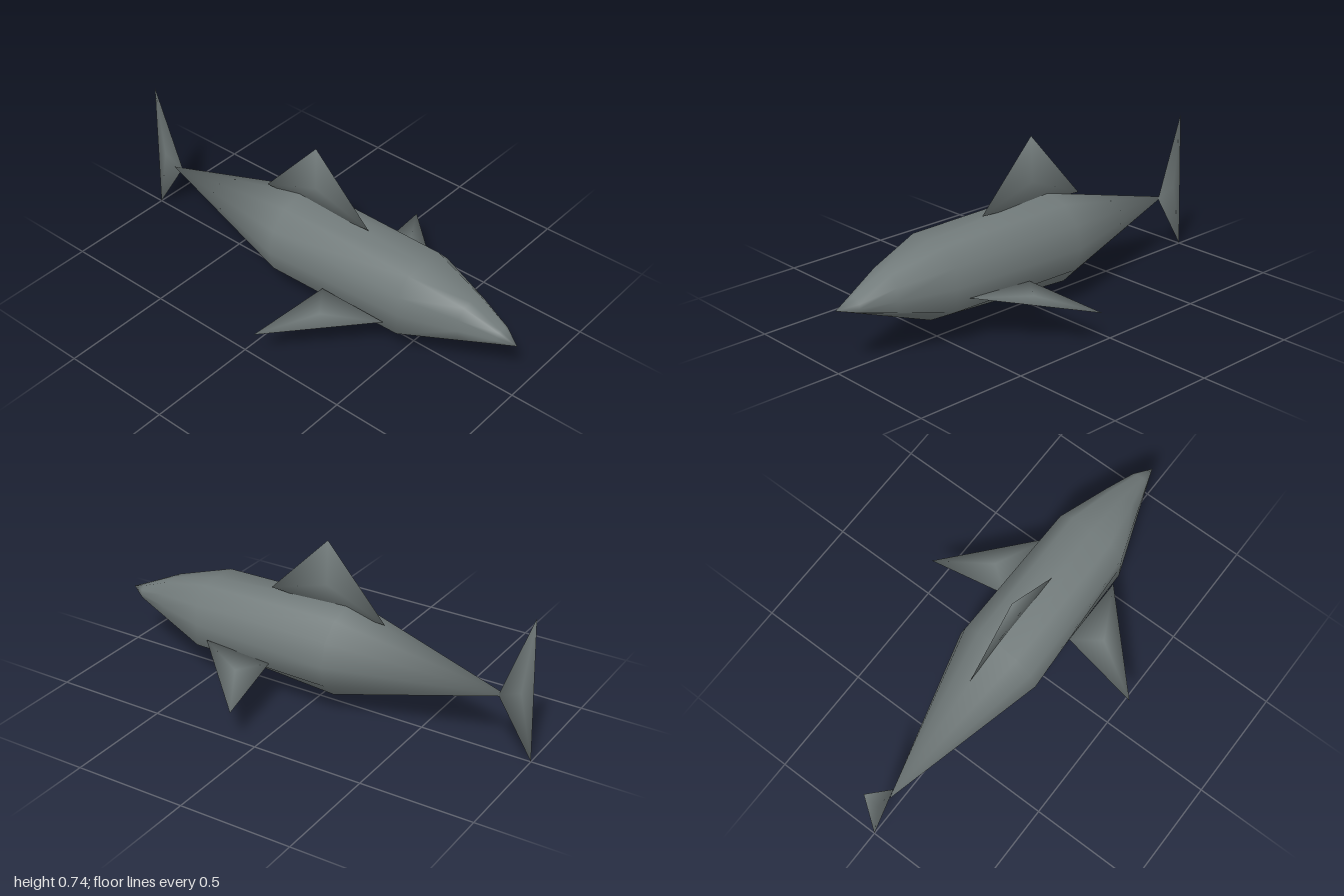
import * as THREE from 'three';

const CENTER_Y = 0.265;

function smoothGeometry(points, faces) {
  const geometry = new THREE.BufferGeometry();
  geometry.setAttribute('position', new THREE.Float32BufferAttribute(points.flat(), 3));
  geometry.setIndex(faces.flat());
  geometry.computeVertexNormals();
  return geometry;
}

// Twelve-sided hull, lofted from nose to tail and closed by a point at each end
function bodyGeometry() {
  const sides = 12;
  // Right half of the head section, from its top to its bottom
  const half = [[0, 0.165], [0.1, 0.165], [0.165, 0.095], [0.165, 0], [0.165, -0.095], [0.083, -0.14], [0, -0.185]];
  const head = (z, right, left, up, down) => Array.from({ length: sides }, (_, i) => {
    const [x, y] = half[i <= 6 ? i : sides - i];
    return [i <= 6 ? x * right : -x * left, CENTER_Y + y * (y > 0 ? up : down), z];
  });
  const belly = Array.from({ length: sides }, (_, i) => {
    const a = (i / sides) * Math.PI * 2;
    return [Math.sin(a) * 0.2, CENTER_Y + Math.cos(a) * 0.2, -0.13];
  });
  const rings = [
    head(0.92, 0.3, 0.17, 0.21, 0.17),
    head(0.77, 0.57, 0.49, 0.606, 0.49),
    head(0.53, 1, 1, 1, 1),
    belly,
  ];
  const points = [...rings.flat(), [0, CENTER_Y, 1], [-0.012, 0.26, -0.88]];
  const nose = rings.length * sides, tail = nose + 1;
  const faces = [];
  for (let i = 0; i < sides; i++) {
    const j = (i + 1) % sides;
    faces.push([nose, j, i]);
    for (let r = 0; r < rings.length - 1; r++) {
      const a = r * sides, b = a + sides;
      faces.push([a + i, a + j, b + i], [a + j, b + j, b + i]);
    }
    const last = nose - sides;
    faces.push([last + i, last + j, tail]);
  }
  return smoothGeometry(points, faces);
}

// Thin triangular blade, slightly swollen in the middle
function finGeometry(corners, thickness) {
  const [a, b, c] = corners.map((p) => new THREE.Vector3(...p));
  const normal = b.clone().sub(a).cross(c.clone().sub(a)).normalize();
  const middle = a.clone().add(b).add(c).divideScalar(3);
  const swell = (d) => middle.clone().addScaledVector(normal, d).toArray();
  const points = [...corners, swell(thickness / 2), swell(-thickness / 2)];
  const faces = [];
  for (let i = 0; i < 3; i++) {
    const j = (i + 1) % 3;
    faces.push([i, j, 3], [j, i, 4]);
  }
  return smoothGeometry(points, faces);
}

export function createModel() {
  const group = new THREE.Group();
  const skin = new THREE.MeshStandardMaterial({ color: 0x727b7b });
  skin.name = 'slateGreySkin';

  const add = (name, geometry) => {
    const mesh = new THREE.Mesh(geometry, skin);
    mesh.name = name;
    group.add(mesh);
  };

  add('body', bodyGeometry());

  // Fins: three corners each
  add('dorsalFin', finGeometry([[0, 0.455, 0.245], [-0.004, 0.74, -0.035], [0, 0.425, -0.315]], 0.012));
  add('tailFin', finGeometry([[0, 0.26, -0.84], [-0.003, 0.64, -0.98], [0, 0, -1]], 0.01));
  add('leftSideFin', finGeometry([[0.175, 0.215, 0.47], [0.54, 0.152, 0.09], [0.175, 0.195, 0.145]], 0.012));
  add('rightSideFin', finGeometry([[-0.175, 0.204, 0.47], [-0.175, 0.204, 0.145], [-0.54, 0.163, 0.09]], 0.012));

  return group;
}
